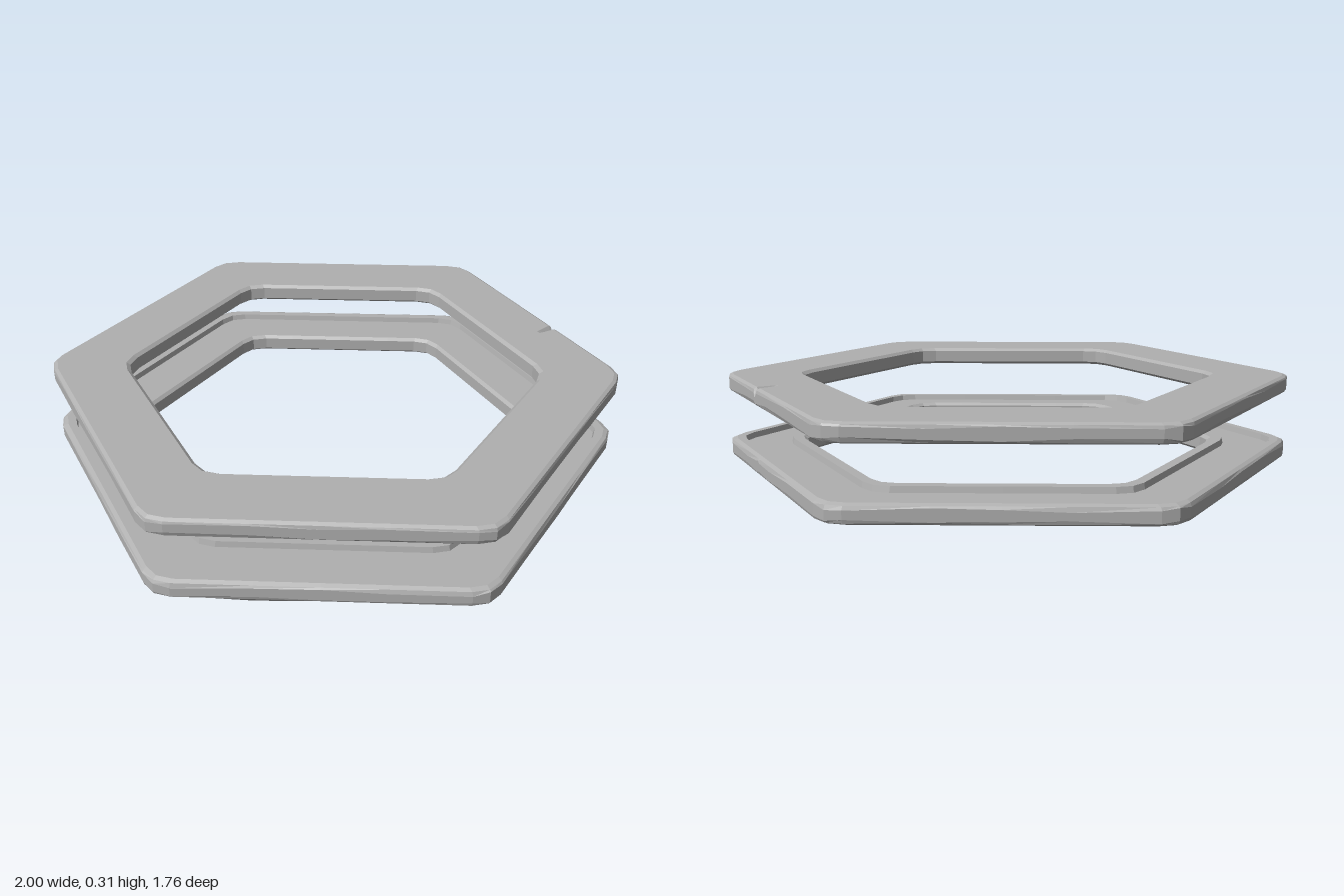
import * as THREE from 'three';

const H = 0.064;

// Ring cross-section as [apothem, height]: plain face at 0, channelled face at H
const PROFILE = [
  [0.652, 0], [0.8, 0], [0.866, 0], [0.877, 0.006], [0.88, 0.014],
  [0.88, 0.048], [0.875, 0.058], [0.862, H],
  [0.835, H], [0.831, 0.044], [0.69, 0.044], [0.686, H],
  [0.652, H], [0.64, 0.054], [0.64, 0.01],
];

// One hexagon outline: stations along each side plus a rounded corner
function stations() {
  const list = [];
  for (let k = 0; k < 6; k++) {
    const n = Math.PI / 6 + (k * Math.PI) / 3;
    const ts = k === 5 ? [-0.2, 0, 0.104, 0.12, 0.136, 0.25] : [-0.2, 0, 0.2];
    list.push({ n, k, corner: -1 });
    ts.forEach((t) => list.push({ n, k, t, corner: 0 }));
    list.push({ n, k, corner: 1 });
    list.push({ n: n + Math.PI / 6, k, corner: 2 });
  }
  return list;
}

function place(s, a, y) {
  const c = 0.06;
  const R = a / Math.cos(Math.PI / 6);
  if (s.corner === 2) {
    const r = R - c / 4;
    return [r * Math.cos(s.n), y, r * Math.sin(s.n)];
  }
  const t = s.corner === 0 ? s.t : s.corner * (R / 2 - c);
  return [
    a * Math.cos(s.n) - t * Math.sin(s.n), y,
    a * Math.sin(s.n) + t * Math.cos(s.n),
  ];
}

function makeRing(upper, material) {
  const path = stations();
  const pos = [];
  const idx = [];
  const m = PROFILE.length;
  path.forEach((s, i) => {
    PROFILE.forEach(([a, y0], j) => {
      let y = y0;
      // Uneven worn bevels along the outer rim
      if (j === 5) y += 0.006 * Math.sin(i * 1.7 + (upper ? 1 : 0));
      if (j === 4) y += 0.004 * Math.sin(i * 2.3 + (upper ? 2 : 0));
      // Small crack in the upper ring, small swelling under the lower one
      if (upper && s.t === 0.12 && j >= 2 && j <= 4) y += 0.022;
      if (!upper && s.k === 1 && s.t === 0.2 && (j === 1 || j === 2)) y -= 0.01;
      pos.push(...place(s, a, upper ? H - y : y));
    });
  });
  for (let i = 0; i < path.length; i++) {
    const i2 = (i + 1) % path.length;
    for (let j = 0; j < m; j++) {
      const j2 = (j + 1) % m;
      const a = i * m + j, b = i * m + j2, c = i2 * m + j, d = i2 * m + j2;
      if (upper) idx.push(a, c, b, b, c, d);
      else idx.push(a, b, c, b, d, c);
    }
  }
  const geo = new THREE.BufferGeometry();
  geo.setAttribute('position', new THREE.Float32BufferAttribute(pos, 3));
  geo.setIndex(idx);
  const flat = geo.toNonIndexed();
  flat.computeVertexNormals();
  return new THREE.Mesh(flat, material);
}

export function createModel() {
  const group = new THREE.Group();
  group.name = 'hexagonalFramePair';
  const grey = new THREE.MeshStandardMaterial({ color: 0xb0b0b0 });
  grey.name = 'stoneGrey';

  // Two matching frames with their channelled faces towards each other
  const lower = makeRing(false, grey);
  lower.name = 'lowerFrame';
  lower.position.y = 0.01;
  const upper = makeRing(true, grey);
  upper.name = 'upperFrame';
  upper.position.y = 0.244;
  group.add(lower, upper);
  return group;
}
